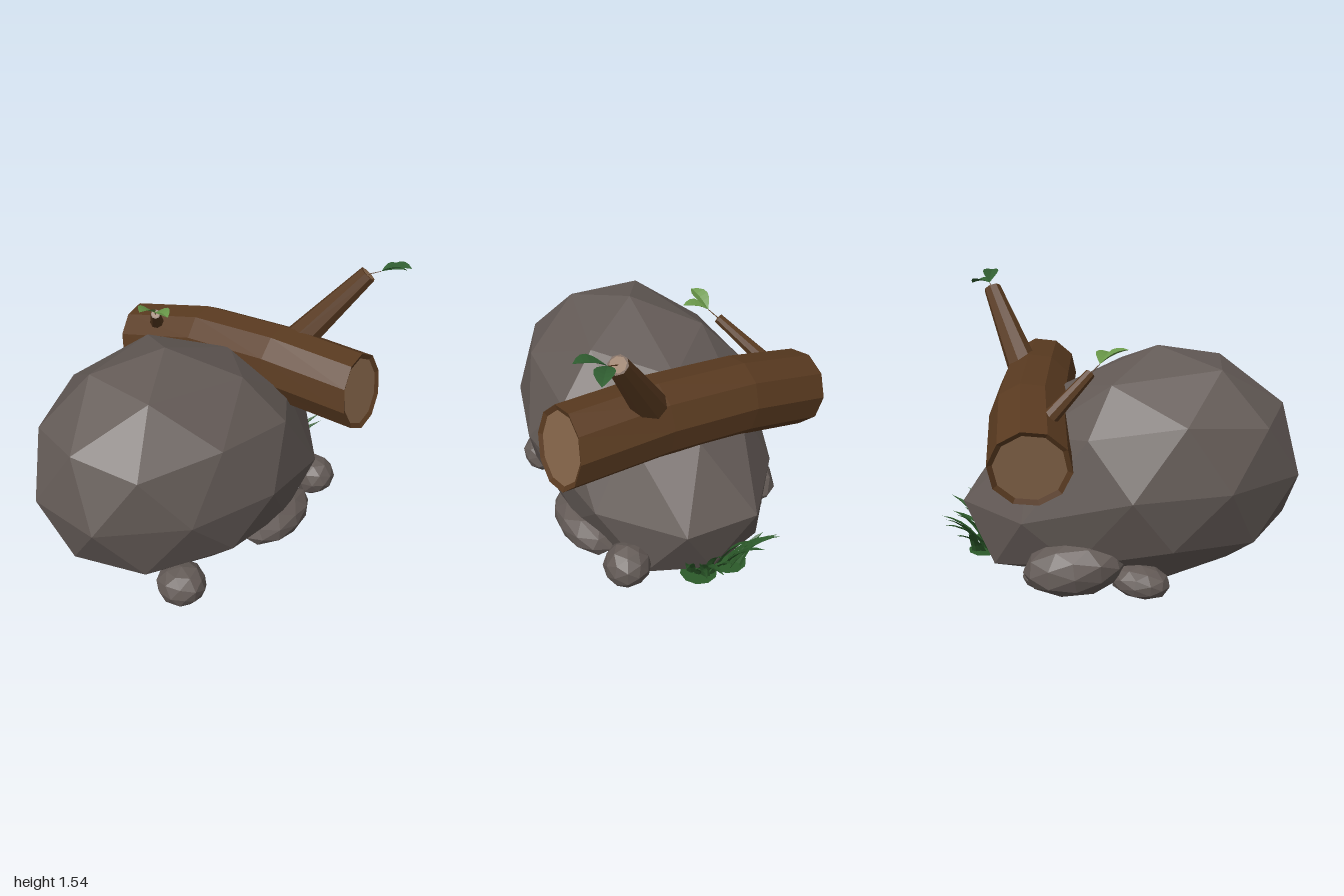
import * as THREE from 'three';
import { ConvexGeometry } from 'three/addons/geometries/ConvexGeometry.js';

const V = (x, y, z) => new THREE.Vector3(x, y, z);
const mat = (name, color, side = THREE.FrontSide) => {
  const m = new THREE.MeshStandardMaterial({ color, side });
  m.name = name;
  return m;
};

export function createModel() {
  const model = new THREE.Group();
  const stone = mat('stone', 0x635a56);
  const bark = mat('bark', 0x593a20);
  const cutWood = mat('cutWood', 0x86664a);
  const grassGreen = mat('grassGreen', 0x2c5a2a, THREE.DoubleSide);
  const leafDark = mat('leafDark', 0x305e31, THREE.DoubleSide);
  const leafLight = mat('leafLight', 0x689648, THREE.DoubleSide);

  const add = (name, geometry, material, parent = model) => {
    const mesh = new THREE.Mesh(geometry, material);
    mesh.name = name;
    parent.add(mesh);
    return mesh;
  };
  const group = (name) => {
    const g = new THREE.Group();
    g.name = name;
    model.add(g);
    return g;
  };
  const faceted = (points, indices) => {
    const flat = new THREE.BufferGeometry().setFromPoints(indices.map((i) => points[i]));
    flat.computeVertexNormals();
    return flat;
  };

  // Boulder: rings of facet corners from top to bottom, mirrored across z
  const half = [
    [-0.24, 1.235, 0],
    [0.29, 1.0, 0], [-0.02, 1.09, 0.335], [-0.58, 1.15, 0.205],
    [0.56, 0.75, 0], [0.08, 0.86, 0.55], [-0.82, 0.885, 0.35],
    [0.4, 0.81, 0.33], [-0.41, 0.93, 0.53], [-0.92, 0.93, 0],
    [0.81, 0.39, 0.205], [0.43, 0.4, 0.535], [-0.15, 0.575, 0.665], [-0.64, 0.59, 0.535], [-1, 0.59, 0.205],
    [0.62, 0.08, 0.34], [-0.35, 0.28, 0.565], [-0.95, 0.3, 0],
    [0.72, 0.05, 0], [0.16, 0.17, 0.53], [-0.77, 0.25, 0.33],
    [0.43, 0.01, 0.22], [-0.25, 0.01, 0.34], [-0.65, 0.01, 0],
  ];
  const corners = half.flatMap(([x, y, z]) => (z ? [V(x, y, z), V(x, y, -z)] : [V(x, y, z)]));
  add('boulder', new ConvexGeometry(corners), stone);

  // Small stones around the foot: centre, half sizes, turn about y, tilt
  const stones = group('smallStones');
  [
    [-0.595, 0.12, 0.42, 0.135, 0.115, 0.135, 0.3, 0],
    [0.15, 0.135, 0.465, 0.28, 0.11, 0.165, 0.05, -0.04],
    [0.585, 0.145, 0.43, 0.125, 0.12, 0.13, 0.6, 0],
    [0.16, 0.16, -0.51, 0.27, 0.152, 0.165, 0.12, -0.1],
    [0.35, 0.075, -0.44, 0.1, 0.075, 0.09, 0.4, 0],
    [-0.18, 0.09, -0.5, 0.16, 0.085, 0.12, -0.2, 0.1],
  ].forEach(([x, y, z, a, b, c, turn, tilt], n) => {
    const geo = new THREE.IcosahedronGeometry(1, 1);
    const p = geo.attributes.position;
    for (let i = 0; i < p.count; i++) {
      const v = V().fromBufferAttribute(p, i);
      const bump = Math.sin(v.x * 4 + n) * Math.sin(v.y * 5 + n * 2) * Math.cos(v.z * 4 - n);
      v.multiplyScalar(1 + 0.035 * bump);
      p.setXYZ(i, v.x * a, v.y * b, v.z * c);
    }
    geo.computeVertexNormals();
    const mesh = add('smallStone', geo, stone, stones);
    mesh.position.set(x, y, z);
    mesh.rotation.set(0, turn, tilt);
  });

  // Bent log: ten-sided rings from back to front, each with its own tilt
  const SIDES = 10;
  const ring = ([centre, normal, radius]) => {
    const n = normal.clone().normalize();
    const u = V(0, 1, 0).cross(n).normalize();
    const v = n.clone().cross(u);
    return Array.from({ length: SIDES }, (_, j) => {
      const a = ((7 + 36 * j) * Math.PI) / 180;
      return centre.clone().addScaledVector(u, radius * Math.cos(a)).addScaledVector(v, radius * Math.sin(a));
    });
  };
  const back = [V(0.34, 0.77, -0.735), V(0.17, 0.2, 1)];
  const front = [V(0.503, 0.918, 0.738), V(0.1, 0.2, 1)];
  const inset = (end, d) => end[0].clone().addScaledVector(end[1].clone().normalize(), d);
  const sections = [
    [inset(back, 0.012), back[1], 0.182],
    [...back, 0.209],
    [V(0.42, 0.882, -0.27), V(0.11, 0.16, 1), 0.209],
    [V(0.458, 0.92, 0.22), V(0.08, 0.04, 1), 0.209],
    [...front, 0.209],
    [inset(front, -0.012), front[1], 0.182],
  ];
  const log = group('log');
  const rings = sections.map(ring);
  const faces = [];
  for (let i = 0; i < rings.length - 1; i++) {
    for (let j = 0; j < SIDES; j++) {
      const k = (j + 1) % SIDES;
      const [a, b, c, d] = [i * SIDES + j, i * SIDES + k, (i + 1) * SIDES + k, (i + 1) * SIDES + j];
      faces.push(a, b, c, a, c, d);
    }
  }
  add('logBark', faceted(rings.flat(), faces), bark, log);
  const fan = (points, flip) => {
    const f = [];
    for (let j = 1; j < SIDES - 1; j++) f.push(0, flip ? j + 1 : j, flip ? j : j + 1);
    return faceted(points, f);
  };
  add('logBackCut', fan(rings[0], true), cutWood, log);
  add('logFrontCut', fan(rings[rings.length - 1], false), cutWood, log);

  // Broken branches: tapered bark with a pale cut disc on the tip
  const rod = (name, from, to, r0, r1, sides, material, parent) => {
    const dir = to.clone().sub(from);
    const geo = new THREE.CylinderGeometry(r1, r0, dir.length(), sides).toNonIndexed();
    geo.computeVertexNormals();
    const mesh = add(name, geo, material, parent);
    mesh.position.copy(from).add(to).multiplyScalar(0.5);
    mesh.quaternion.setFromUnitVectors(V(0, 1, 0), dir.normalize());
  };
  const branch = (name, from, to, r0, r1) => {
    const g = group(name);
    rod(name + 'Bark', from, to, r0, r1, 8, bark, g);
    const dir = to.clone().sub(from).normalize();
    const disc = add(name + 'Cut', new THREE.CircleGeometry(r1 * 0.82, 8), cutWood, g);
    disc.position.copy(to).addScaledVector(dir, 0.002);
    disc.quaternion.setFromUnitVectors(V(0, 0, 1), dir);
    return g;
  };
  const big = branch('largeBranch', V(0.54, 1.03, 0.27), V(0.765, 1.45, 0.545), 0.09, 0.05);
  const small = branch('smallBranch', V(0.31, 0.93, -0.575), V(0.085, 1.16, -0.372), 0.045, 0.027);

  // Folded blade along a curve, used for leaves and grass
  const blade = (from, bend, to, width, profile, steps = 5) => {
    const curve = new THREE.QuadraticBezierCurve3(from, bend, to);
    const pts = [];
    const idx = [];
    for (let i = 0; i <= steps; i++) {
      const t = i / steps;
      const tan = curve.getTangent(t);
      const side = V(0, 1, 0).cross(tan).normalize();
      const up = tan.clone().cross(side);
      const w = width * profile(t);
      const mid = curve.getPoint(t);
      pts.push(mid.clone().addScaledVector(side, -w).addScaledVector(up, w * 0.4), mid,
        mid.clone().addScaledVector(side, w).addScaledVector(up, w * 0.4));
      if (i < steps) {
        for (const s of [0, 1]) {
          const a = i * 3 + s;
          idx.push(a, a + 1, a + 4, a, a + 4, a + 3);
        }
      }
    }
    return faceted(pts, idx);
  };
  const leafShape = (t) => Math.sin(Math.PI * Math.pow(t, 1.1));
  const leafPair = (parent, from, hub, tips, material) => {
    rod('leafStem', from, hub, 0.003, 0.002, 5, bark, parent);
    for (const tip of tips) {
      const bend = hub.clone().lerp(tip, 0.5).add(V(0, 0.025, 0));
      add('leaf', blade(hub, bend, tip, 0.047, leafShape, 6), material, parent);
    }
  };
  leafPair(big, V(0.765, 1.45, 0.545), V(0.795, 1.475, 0.605), [V(0.81, 1.535, 0.77), V(0.92, 1.46, 0.69)], leafDark);
  leafPair(small, V(0.085, 1.16, -0.372), V(0.04, 1.2, -0.335), [V(-0.105, 1.27, -0.31), V(0, 1.235, -0.2)], leafLight);

  // Grass tufts: dark base discs and arching blades (base z, tip x, y, z)
  const grass = group('grass');
  for (const z of [0.08, -0.1]) {
    const disc = add('grassBase', new THREE.CircleGeometry(0.1, 10), grassGreen, grass);
    disc.rotation.x = -Math.PI / 2;
    disc.position.set(0.72, 0.055, z);
  }
  [
    [0.12, 0.9, 0.29, 0.26], [0.09, 0.985, 0.265, 0.19], [0.07, 0.87, 0.25, 0.16], [0.05, 0.95, 0.21, 0.07],
    [0.03, 0.87, 0.25, 0.04], [0.02, 0.93, 0.24, 0.0], [-0.06, 0.87, 0.28, -0.15], [-0.08, 0.95, 0.28, -0.17],
    [-0.09, 0.9, 0.29, -0.25], [-0.11, 0.9, 0.28, -0.3], [-0.13, 0.83, 0.23, -0.33], [-0.14, 0.77, 0.22, -0.28],
  ].forEach(([z, tx, ty, tz], i) => {
    const from = V(0.71 + 0.03 * (i % 3), 0.05, z);
    const bend = V(from.x + (tx - from.x) * 0.35, ty * 0.78, z + (tz - z) * 0.35);
    add('grassBlade', blade(from, bend, V(tx, ty, tz), 0.025, (t) => 1 - t * t * t), grassGreen, grass);
  });

  return model;
}
